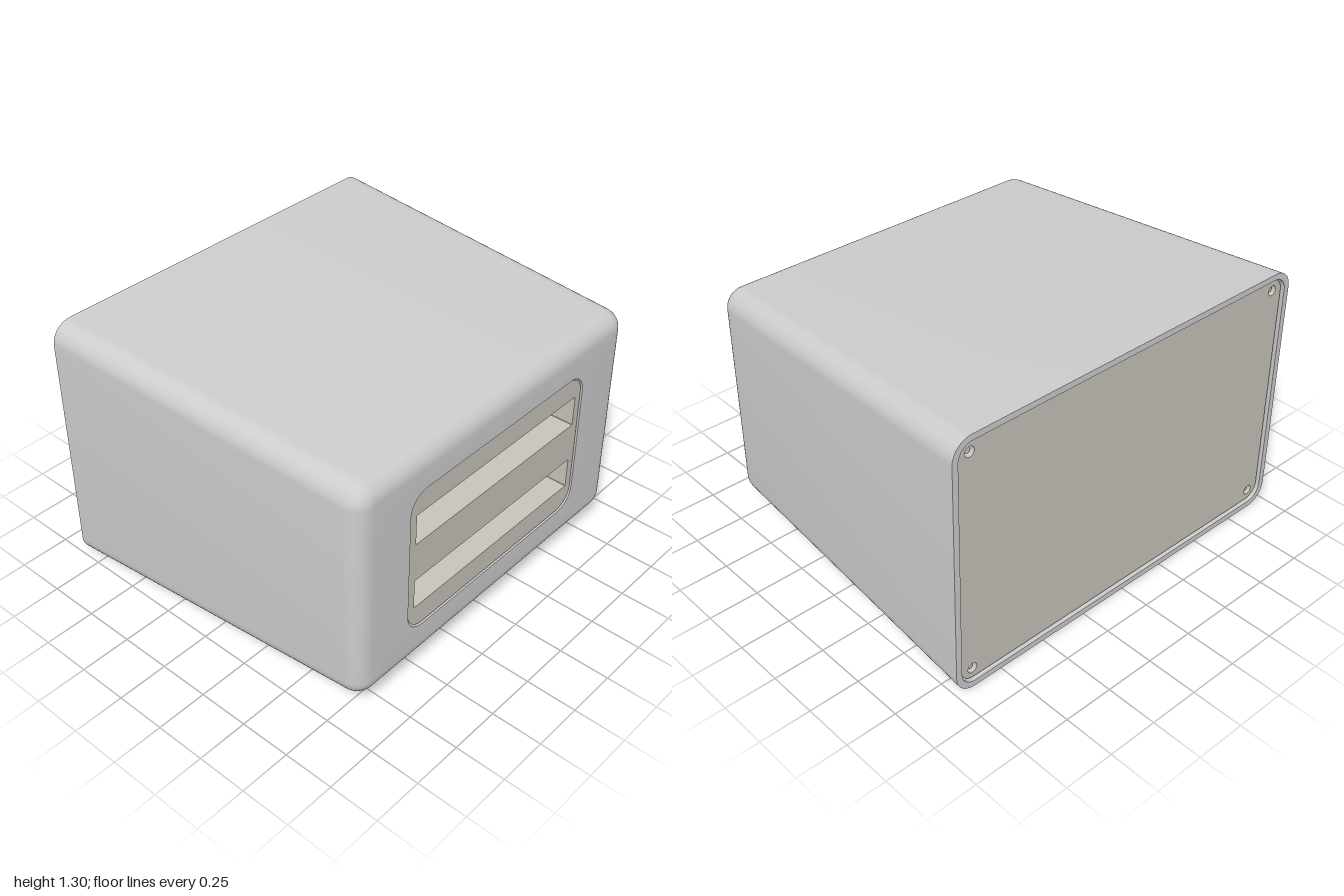
import * as THREE from 'three';
import { toCreasedNormals } from 'three/addons/utils/BufferGeometryUtils.js';

const CY = 0.652; // height of the central axis
const grey = new THREE.MeshStandardMaterial({ color: 0xcccccc });
const warm = new THREE.MeshStandardMaterial({ color: 0xc7c2ba });

// Counter-clockwise outline of a rounded rectangle given by its half sizes
function roundedRect(hx, hy, r, n = 10) {
  const pts = [];
  for (let q = 0; q < 4; q++) {
    const sx = q === 0 || q === 3 ? 1 : -1;
    const sy = q < 2 ? 1 : -1;
    for (let i = 0; i <= n; i++) {
      const a = (q + i / n) * Math.PI / 2;
      pts.push(new THREE.Vector2(sx * (hx - r) + r * Math.cos(a), sy * (hy - r) + r * Math.sin(a)));
    }
  }
  return pts;
}

// Skin through rounded-rectangle sections [hx, hy, r, z]
function loft(sections) {
  const pos = [], idx = [];
  const n = roundedRect(1, 1, 0.1).length;
  sections.forEach(([hx, hy, r, z], i) => {
    for (const p of roundedRect(hx, hy, r)) pos.push(p.x, p.y, z);
    if (i === 0) return;
    for (let j = 0; j < n; j++) {
      const a = (i - 1) * n + j, b = (i - 1) * n + (j + 1) % n;
      idx.push(a, b, b + n, a, b + n, a + n);
    }
  });
  const g = new THREE.BufferGeometry();
  g.setAttribute('position', new THREE.Float32BufferAttribute(pos, 3));
  g.setIndex(idx);
  return toCreasedNormals(g, 0.5);
}

// Flat plate with holes, from z to z + depth
function plate(outline, holes, z, depth) {
  const shape = new THREE.Shape(outline);
  holes.forEach(h => shape.holes.push(new THREE.Path(h)));
  const g = new THREE.ExtrudeGeometry(shape, { depth, bevelEnabled: false });
  return toCreasedNormals(g.translate(0, 0, z), 0.5);
}

const shift = (pts, x, y) => pts.map(p => new THREE.Vector2(p.x + x, p.y + y));

export function createModel() {
  const model = new THREE.Group();
  const body = new THREE.Group();
  body.name = 'body';
  body.position.y = CY;
  model.add(body);
  const add = (name, geometry, material) => {
    const mesh = new THREE.Mesh(geometry, material);
    mesh.name = name;
    body.add(mesh);
    return mesh;
  };

  // Tapered housing: rear ledge, rim, outer walls, front fillet, front opening
  const sections = [
    [0.84, 0.49, 0.05, -0.8],
    [0.97, 0.62, 0.075, -0.8],
    [0.97, 0.62, 0.075, -0.85],
    [1, 0.65, 0.1, -0.85],
  ];
  const r = 0.09, steps = 10;
  for (let i = 0; i <= steps; i++) {
    const t = THREE.MathUtils.lerp(0.053, Math.PI / 2, i / steps);
    const inset = r * (1 - Math.cos(t));
    sections.push([0.915 - inset, 0.565 - inset, 0.1 - inset, 0.85 - r + r * Math.sin(t)]);
  }
  sections.push([0.6, 0.375, 0.1, 0.85], [0.6, 0.375, 0.1, 0.81], [0.57, 0.345, 0.07, 0.81]);
  add('housing', loft(sections), grey);

  // Front panel with two deep slots
  const slots = [0.18, -0.175].map(y => shift(roundedRect(0.555, 0.0775, 0.002, 1), 0, y));
  add('frontPanel', plate(roundedRect(0.593, 0.368, 0.095), slots, 0.81, 0.034), warm);
  add('slotBlock', plate(roundedRect(0.58, 0.35, 0.08), slots, 0.36, 0.45), warm);
  add('slotBack', plate(roundedRect(0.58, 0.35, 0.08), [], 0.34, 0.02), warm);

  // Rear cover with a screw recessed in each corner
  const corners = [];
  for (const x of [-0.9, 0.9]) for (const y of [-0.56, 0.56]) corners.push([x, y]);
  const holes = corners.map(([x, y]) => shift(roundedRect(0.025, 0.025, 0.025, 6), x, y));
  add('rearCover', plate(roundedRect(0.962, 0.612, 0.068), holes, -0.835, 0.034), warm);
  for (const [x, y] of corners) {
    const screw = add('screw', new THREE.CylinderGeometry(0.015, 0.015, 0.02, 20), grey);
    screw.rotation.x = Math.PI / 2;
    screw.position.set(x, y, -0.81);
  }
  return model;
}
